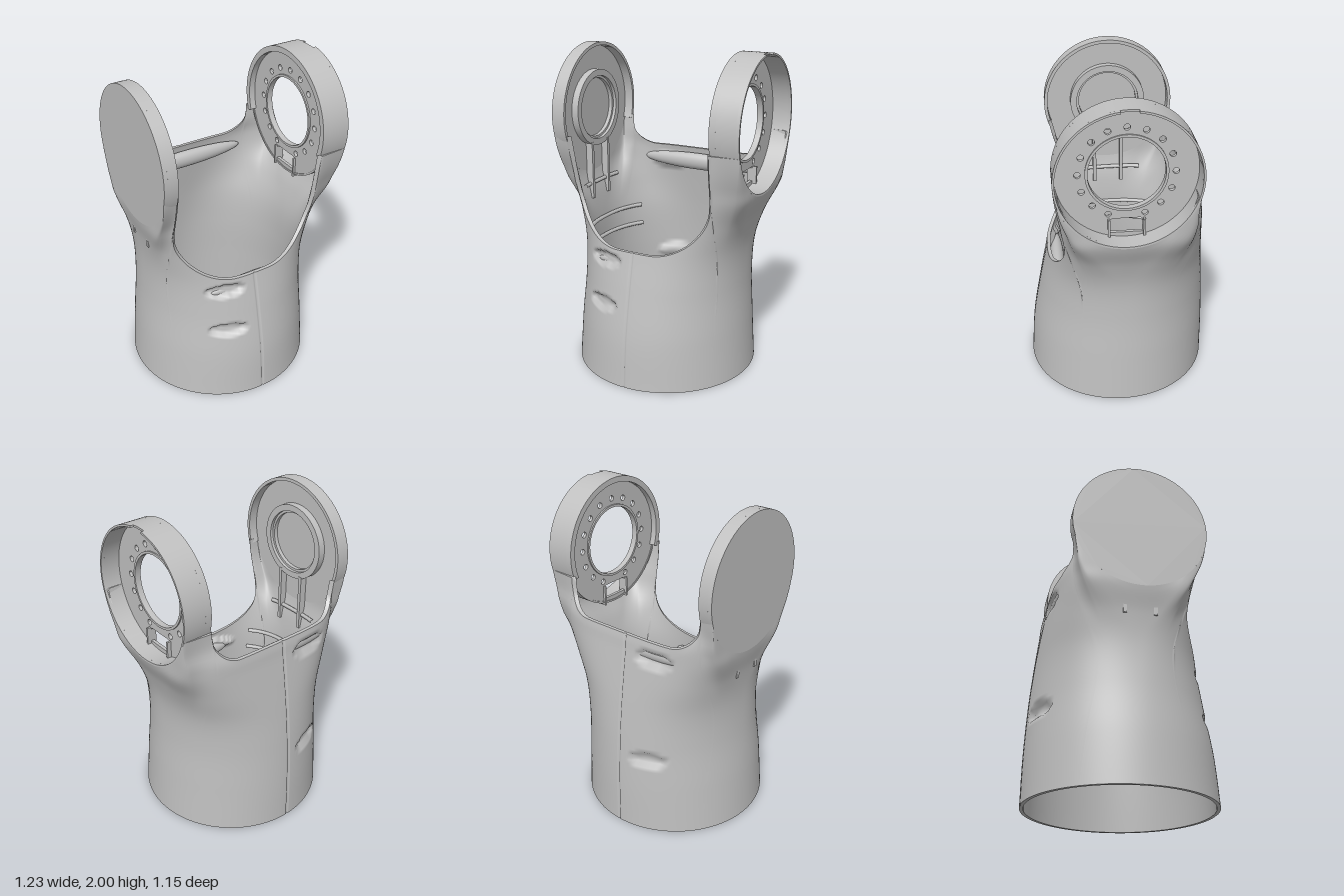
import * as THREE from 'three';
import { toCreasedNormals } from 'three/addons/utils/BufferGeometryUtils.js';

const CY = 1.585, R = 0.41, WALL = 0.022;   // fork axis height, disc radius, shell wall
const CUT_X = -0.0425, CUT_W = 0.4725;      // middle and half width of the fork gap

// Shell sections: y, right x, left x, front z, back z, squareness
const KEYS = [
  [0, -0.615, 0.535, 0.575, 0.575, 2],
  [0.3, -0.592, 0.515, 0.55, 0.57, 2],
  [0.6, -0.56, 0.495, 0.495, 0.553, 2.1],
  [0.83, -0.55, 0.5, 0.445, 0.53, 2.4],
  [1.02, -0.567, 0.545, 0.408, 0.505, 3],
  [1.18, -0.6, 0.607, 0.405, 0.482, 3.5],
  [1.27, -0.6, 0.61, 0.408, 0.47, 4],
  [1.38, -0.6, 0.61, 0.41, 0.425, 5.5],
  [1.6, -0.6, 0.61, 0.415, 0.415, 9],
];

// Smooth interpolation of the section table
function section(y) {
  let k = 0;
  while (k < KEYS.length - 2 && y > KEYS[k + 1][0]) k++;
  const p = KEYS[k], q = KEYS[k + 1], h = q[0] - p[0], t = (y - p[0]) / h;
  const slope = (i, c) => {
    const a = KEYS[Math.max(i - 1, 0)], b = KEYS[Math.min(i + 1, KEYS.length - 1)];
    return (b[c] - a[c]) / (b[0] - a[0]);
  };
  const [xr, xl, zf, zb, n] = [1, 2, 3, 4, 5].map((c) => p[c] * (1 + 2 * t) * (1 - t) ** 2
    + q[c] * t * t * (3 - 2 * t) + h * slope(k, c) * t * (1 - t) ** 2 - h * slope(k + 1, c) * t * t * (1 - t));
  return { cx: (xl + xr) / 2, a: (xl - xr) / 2, zf, zb, n };
}

// Point on the shell at an angle and height, moved inwards by inset
function shellPoint(angle, y, inset = 0) {
  const { cx, a, zf, zb, n } = section(y), c = Math.cos(angle), s = Math.sin(angle);
  const k = (Math.abs(c) ** n + Math.abs(s) ** n) ** (-1 / n);
  return new THREE.Vector3(cx + c * k * (a - inset), y, s * k * ((s > 0 ? zf : zb) - inset));
}

// Angle at which the section at y reaches a given x, on the front (1) or back (-1)
function angleAtX(x, y, side) {
  const { cx, a, n } = section(y), u = (x - cx) / a;
  return Math.atan2(side * (1 - Math.abs(u) ** n) ** (1 / n), u);
}

// Columns running round the shell: left arm, front gap, right arm, back gap
const ARM = 70, GAP = 110;
const COLUMNS = [];
for (const side of [1, -1]) {
  for (let i = 0; i <= ARM; i++) COLUMNS.push({ arm: side, s: (2 * i) / ARM - 1 });
  for (let i = 0; i <= GAP; i++) COLUMNS.push({ arm: 0, side, s: side * (1 - (2 * i) / GAP) });
}

function columnAngle({ arm, side, s }, y) {
  if (arm === 0) return angleAtX(CUT_X + CUT_W * s, y, side);
  const edge = angleAtX(CUT_X + CUT_W * arm, y, 1);
  return arm > 0 ? s * edge : Math.PI + s * (Math.PI - edge);
}

// Where a column ends: on the curved gap edge, or on the rim of a disc
const SIDE_X = { 1: 0.61, '-1': -0.6 }, PSI = 1.3, FLAT = 0.75;
function columnEnd(col) {
  if (col.arm === 0) {
    const [bottom, r] = col.side > 0 ? [0.835, 0.36] : [1.275, 0.16];
    const e = Math.max(0, CUT_W * Math.abs(col.s) - (CUT_W - r)) / r;
    const y = bottom + r * (1 - Math.sqrt(Math.max(0, 1 - e * e)));
    return shellPoint(columnAngle(col, y), y);
  }
  const psi = PSI * Math.max(-1, Math.min(1, col.s / FLAT));
  const end = new THREE.Vector3(SIDE_X[col.arm], CY - R * Math.cos(psi), col.arm * R * Math.sin(psi));
  const t = Math.max(0, (Math.abs(col.s) - FLAT) / (1 - FLAT));
  return end.lerp(shellPoint(columnAngle({ arm: col.arm, s: Math.sign(col.s) }, end.y), end.y), t);
}

// Vent scoops pressed into the wall: side, x, y, half width, half height
const VENTS = [[1, -0.235, 0.76, 0.13, 0.042], [1, -0.235, 0.49, 0.125, 0.042],
  [-1, -0.25, 1.17, 0.14, 0.042], [-1, -0.23, 0.5, 0.125, 0.042]];

// Shell point of a column: flows into its end point, with scoops and seam groove
function wallPoint(col, end, y, inset) {
  const p = shellPoint(columnAngle(col, y), y, inset);
  if (col.arm !== 0) {
    const w = THREE.MathUtils.smoothstep(y, 0.9, end.y);
    return p.addScaledVector(end.clone().sub(shellPoint(columnAngle(col, end.y), end.y)), w);
  }
  if (inset === 0 && Math.abs(col.s) < 0.005) p.z -= col.side * 0.008;
  for (const [side, x, vy, hx, hy] of VENTS) {
    const e = 1 - ((p.x - x) / hx) ** 2 - ((y - vy) / hy) ** 2;
    if (side === col.side && e > 0) p.z -= side * Math.min(0.028, 0.06 * e);
  }
  return p;
}

// Closed band of quads: u runs round, v across
function band(fn, nu, nv) {
  const pos = [], index = [];
  for (let i = 0; i < nu; i++) for (let j = 0; j <= nv; j++) pos.push(...fn(i, j / nv).toArray());
  for (let i = 0; i < nu; i++) for (let j = 0; j < nv; j++) {
    const a = i * (nv + 1) + j, b = ((i + 1) % nu) * (nv + 1) + j;
    index.push(a, a + 1, b, b, a + 1, b + 1);
  }
  const g = new THREE.BufferGeometry();
  g.setAttribute('position', new THREE.Float32BufferAttribute(pos, 3));
  g.setIndex(index);
  g.computeVertexNormals();
  return g;
}

// Outline in the side plane, extruded from x0 to x1
function extrudeX(shape, x0, x1) {
  const g = new THREE.ExtrudeGeometry(shape, { depth: x1 - x0, bevelEnabled: false, curveSegments: 64 });
  return toCreasedNormals(g.rotateY(Math.PI / 2).translate(x0, 0, 0), 0.5);
}

function circle(r, x = 0, y = CY) {
  return new THREE.Shape().absarc(x, y, r, 0, Math.PI * 2, false);
}

function ring(r0, r1) {
  const s = circle(r1);
  s.holes.push(circle(r0));
  return s;
}

function arcRing(r0, r1, deg0, deg1) {
  const a = THREE.MathUtils.degToRad(deg0), b = THREE.MathUtils.degToRad(deg1);
  const s = new THREE.Shape();
  s.absarc(0, CY, r1, a, b, false);
  s.absarc(0, CY, r0, b, a, true);
  s.closePath();
  return s;
}

export function createModel() {
  const model = new THREE.Group();
  model.name = 'forkedSleeve';
  const grey = new THREE.MeshStandardMaterial({ color: 0xc0c0c0 });
  grey.name = 'grey';
  const add = (name, geometry) => {
    const m = new THREE.Mesh(geometry, grey);
    m.name = name;
    model.add(m);
    return m;
  };

  // Sleeve shell: outside, inside and the two edges
  const N = COLUMNS.length, ROWS = 48, ends = COLUMNS.map(columnEnd);
  const wall = (i, v, inset) => wallPoint(COLUMNS[i], ends[i], ends[i].y * v, inset);
  add('shellOutside', band((i, v) => wall(i, v, 0), N, ROWS));
  add('shellInside', band((i, v) => wall(i, 1 - v, WALL), N, ROWS));
  add('shellTopEdge', band((i, v) => wall(i, 1, WALL * v), N, 1));
  add('shellBottomEdge', band((i, v) => wall(i, 0, WALL * (1 - v)), N, 1));

  // Left disc: deep rim with a key notch, and a drilled plate
  add('leftRim', extrudeX(ring(0.398, R), 0.465, 0.59));
  add('leftRimLip', extrudeX(arcRing(0.398, R, 97, 443), 0.59, 0.61));
  add('leftInnerRim', extrudeX(arcRing(0.375, R, -20, 200), 0.43, 0.47));
  const plate = circle(0.4);
  plate.holes.push(circle(0.215));
  for (let i = 1; i < 16; i++) {
    const a = -Math.PI / 2 + (i / 16) * Math.PI * 2;
    plate.holes.push(circle(0.018, 0.27 * Math.cos(a), CY + 0.27 * Math.sin(a)));
  }
  const arch = new THREE.Path();
  arch.moveTo(-0.095, 1.215).lineTo(0.095, 1.215).lineTo(0.095, 1.28);
  arch.quadraticCurveTo(0.095, 1.305, 0.07, 1.305).lineTo(-0.07, 1.305);
  arch.quadraticCurveTo(-0.095, 1.305, -0.095, 1.28).closePath();
  plate.holes.push(arch);
  add('leftPlate', extrudeX(plate, 0.47, 0.49));
  add('leftPlateCollar', extrudeX(ring(0.215, 0.23), 0.46, 0.498));
  for (const z of [-0.1, 0.1]) {
    add('cableChannelWall', new THREE.BoxGeometry(0.06, 0.13, 0.012)).position.set(0.485, 1.24, z);
  }

  // Right disc: closed cap with an inner rim and a bearing boss
  add('rightCap', extrudeX(circle(R), -0.6, -0.575));
  add('rightInnerRim', extrudeX(arcRing(0.39, R, -20, 200), -0.575, -0.515));
  add('rightBoss', extrudeX(ring(0.2, 0.24), -0.575, -0.53));
  add('rightBossStep', extrudeX(ring(0.185, 0.2), -0.575, -0.55));
  for (const z of [-0.09, 0.09]) {
    add('bossStrut', new THREE.BoxGeometry(0.045, 0.37, 0.022)).position.set(-0.55, 1.19, z);
  }

  // Stiffening ribs following the inside of the right wall
  const rib = (y0, y1, d0, d1) => {
    const pts = [];
    for (let i = 0; i <= 12; i++) {
      const t = i / 12;
      pts.push(shellPoint(THREE.MathUtils.degToRad(d0 + (d1 - d0) * t), y0 + (y1 - y0) * t, WALL + 0.008));
    }
    add('insideRib', new THREE.TubeGeometry(new THREE.CatmullRomCurve3(pts), 32, 0.014, 6));
  };
  for (const y of [0.12, 0.28, 0.44]) rib(y, y, 125, 185);
  for (const y of [0.72, 0.85]) rib(y, y, 140, 220);
  rib(1.1, 1.1, 155, 205);
  rib(0.15, 0.55, 135, 160);
  rib(0.15, 0.55, 160, 135);

  // Rounded bars swelling out of the inside walls
  const bar = (name, x, y, z, hx, hy, hz) => {
    add(name, new THREE.SphereGeometry(1, 40, 20).scale(hx, hy, hz)).position.set(x, y, z);
  };
  bar('backInsideBar', -0.03, 1.19, -0.422, 0.41, 0.055, 0.042);
  bar('frontInsideBar', -0.03, 0.74, 0.382, 0.28, 0.05, 0.042);
  return model;
}
